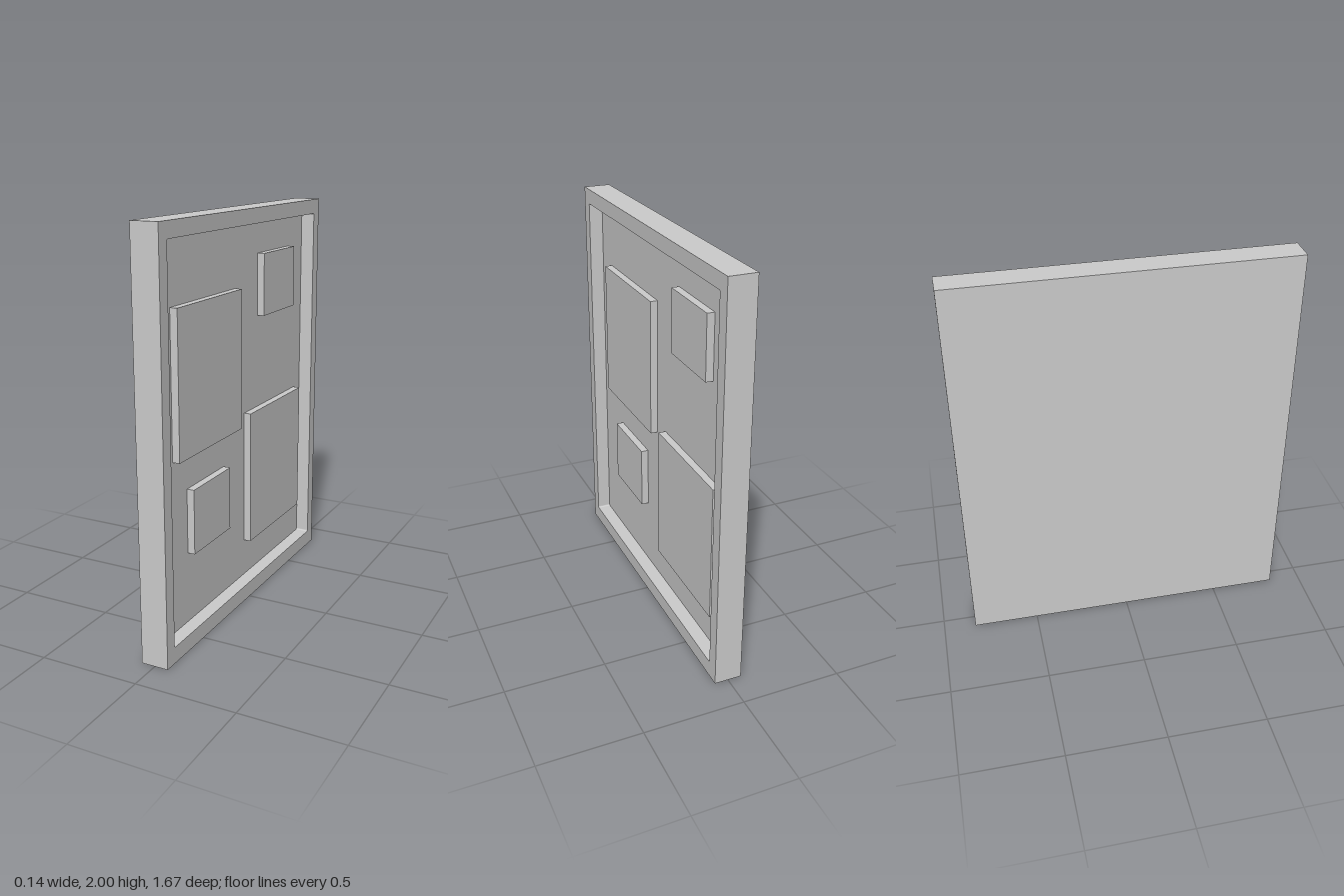
import * as THREE from 'three';

const HALF_X = 0.068, FLOOR_X = -0.003, HALF_Z = 0.835, HEIGHT = 2;

// Rectangle with small rounded corners
function roundedRect(path, x0, y0, x1, y1, r) {
  path.moveTo(x0 + r, y0);
  path.lineTo(x1 - r, y0);
  path.absarc(x1 - r, y0 + r, r, -Math.PI / 2, 0);
  path.lineTo(x1, y1 - r);
  path.absarc(x1 - r, y1 - r, r, 0, Math.PI / 2);
  path.lineTo(x0 + r, y1);
  path.absarc(x0 + r, y1 - r, r, Math.PI / 2, Math.PI);
  path.lineTo(x0, y0 + r);
  path.absarc(x0 + r, y0 + r, r, Math.PI, Math.PI * 1.5);
  return path;
}

export function createModel() {
  const group = new THREE.Group();
  const grey = new THREE.MeshStandardMaterial({ color: 0xcccccc });
  grey.name = 'light grey';

  const add = (name, geometry) => {
    const mesh = new THREE.Mesh(geometry, grey);
    mesh.name = name;
    group.add(mesh);
    return mesh;
  };

  // Box given by its extents along each axis
  const addBox = (name, x0, x1, y0, y1, z0, z1) =>
    add(name, new THREE.BoxGeometry(x1 - x0, y1 - y0, z1 - z0))
      .position.set((x0 + x1) / 2, (y0 + y1) / 2, (z0 + z1) / 2);

  // Solid backing board
  addBox('backBoard', -HALF_X, FLOOR_X, 0, HEIGHT, -HALF_Z, HALF_Z);

  // Raised rim around the recess, extruded toward +x
  const rim = new THREE.Shape();
  rim.moveTo(-HALF_Z, 0);
  rim.lineTo(HALF_Z, 0);
  rim.lineTo(HALF_Z, HEIGHT);
  rim.lineTo(-HALF_Z, HEIGHT);
  rim.closePath();
  rim.holes.push(roundedRect(new THREE.Path(), -0.77, 0.08, 0.77, 1.925, 0.008));
  const rimGeometry = new THREE.ExtrudeGeometry(rim, {
    depth: HALF_X - FLOOR_X, bevelEnabled: false, curveSegments: 4,
  });
  rimGeometry.rotateY(Math.PI / 2);
  add('frameRim', rimGeometry).position.x = FLOOR_X;

  // Raised rectangular panels: y range, then z range
  const panels = {
    upperLargePanel: [0.92, 1.62, 0.025, 0.64],
    upperSmallPanel: [1.45, 1.765, -0.59, -0.222],
    lowerSmallPanel: [0.433, 0.753, 0.153, 0.515],
    lowerLargePanel: [0.275, 0.97, -0.69, -0.075],
  };
  for (const [name, extents] of Object.entries(panels)) {
    addBox(name, FLOOR_X, FLOOR_X + 0.037, ...extents);
  }
  return group;
}
